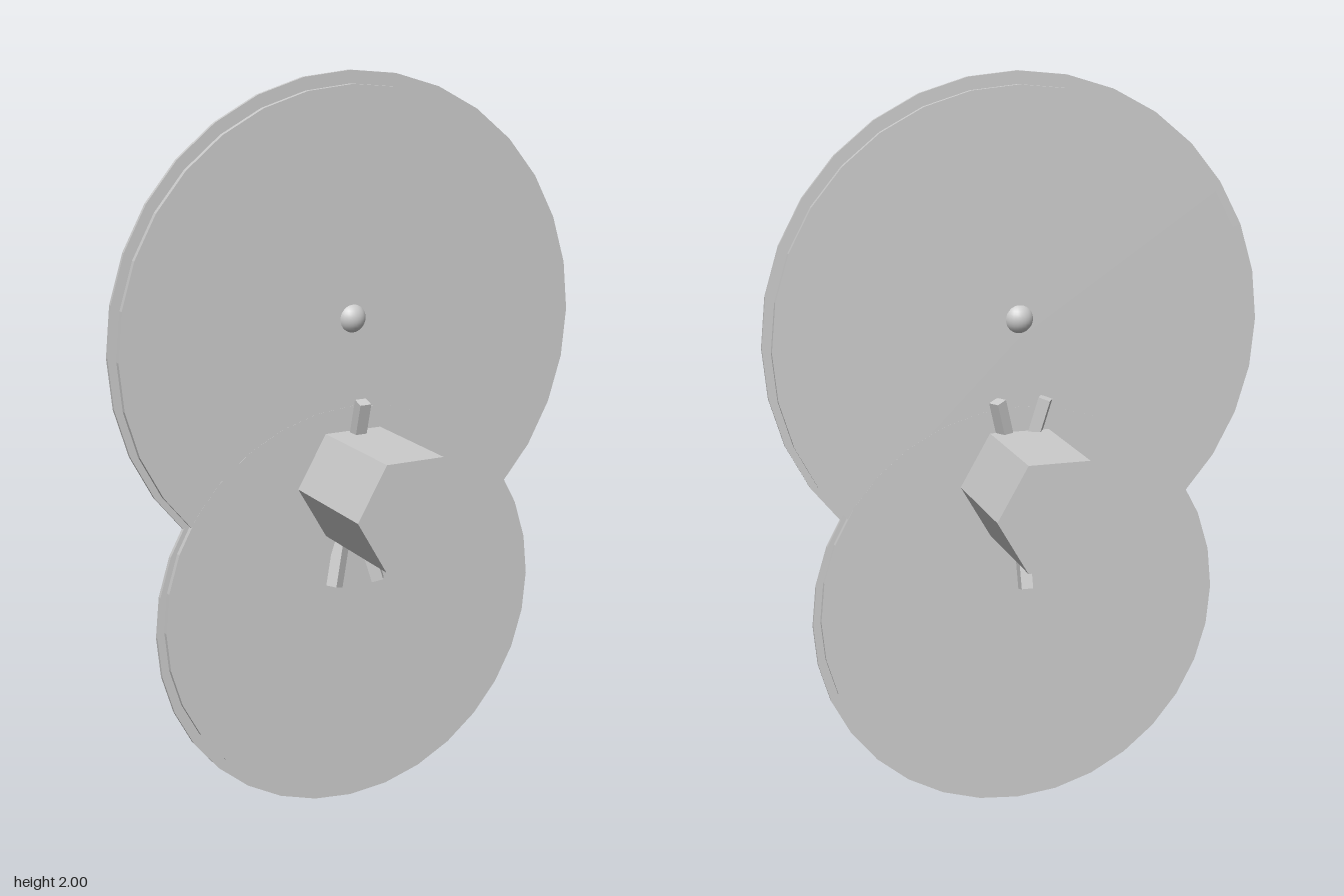
import * as THREE from 'three';

export function createModel() {
  const model = new THREE.Group();
  const flat = new THREE.MeshStandardMaterial({ color: 0xcccccc, flatShading: true });
  const smooth = new THREE.MeshStandardMaterial({ color: 0xcccccc });

  function add(name, geometry, y, material = flat) {
    const mesh = new THREE.Mesh(geometry, material);
    mesh.name = name;
    mesh.position.y = y;
    model.add(mesh);
    return mesh;
  }

  // Prism lying along z, with a given number of sides
  function prism(radius, depth, sides) {
    return new THREE.CylinderGeometry(radius, radius, depth, sides).rotateX(Math.PI / 2);
  }

  // Two overlapping discs: a thin wide rim plate and a thicker inner plate.
  // The lower disc is a hair thicker so the overlapping faces stay apart.
  const discs = [
    { name: 'upper', y: 1.324, radius: 0.677, extra: 0 },
    { name: 'lower', y: 0.567, radius: 0.566, extra: 0.001 },
  ];
  const inset = 0.966; // inner plates shrink towards the middle of the whole shape
  for (const { name, y, radius, extra } of discs) {
    add(name + 'Rim', prism(radius, 0.01 + extra, 32), y);
    add(name + 'Disc', prism(radius * inset, 0.039 + extra, 32), 1 + (y - 1) * inset);
  }

  // Hexagonal axle through the waist
  const axle = prism(0.163, 0.71, 6).rotateZ(Math.PI / 2);
  add('axle', axle, 0.92);

  // Three tilted square rods crossing inside the axle
  for (let i = 0; i < 3; i++) {
    const rod = add('crossRod' + (i + 1), new THREE.BoxGeometry(0.032, 0.534, 0.032), 0.895);
    rod.rotation.set(0.29, (i * Math.PI * 2) / 3, 0, 'YXZ');
  }

  // Small ball in the middle of the upper disc
  add('ball', new THREE.SphereGeometry(0.042, 24, 16), 1.363, smooth);

  return model;
}
